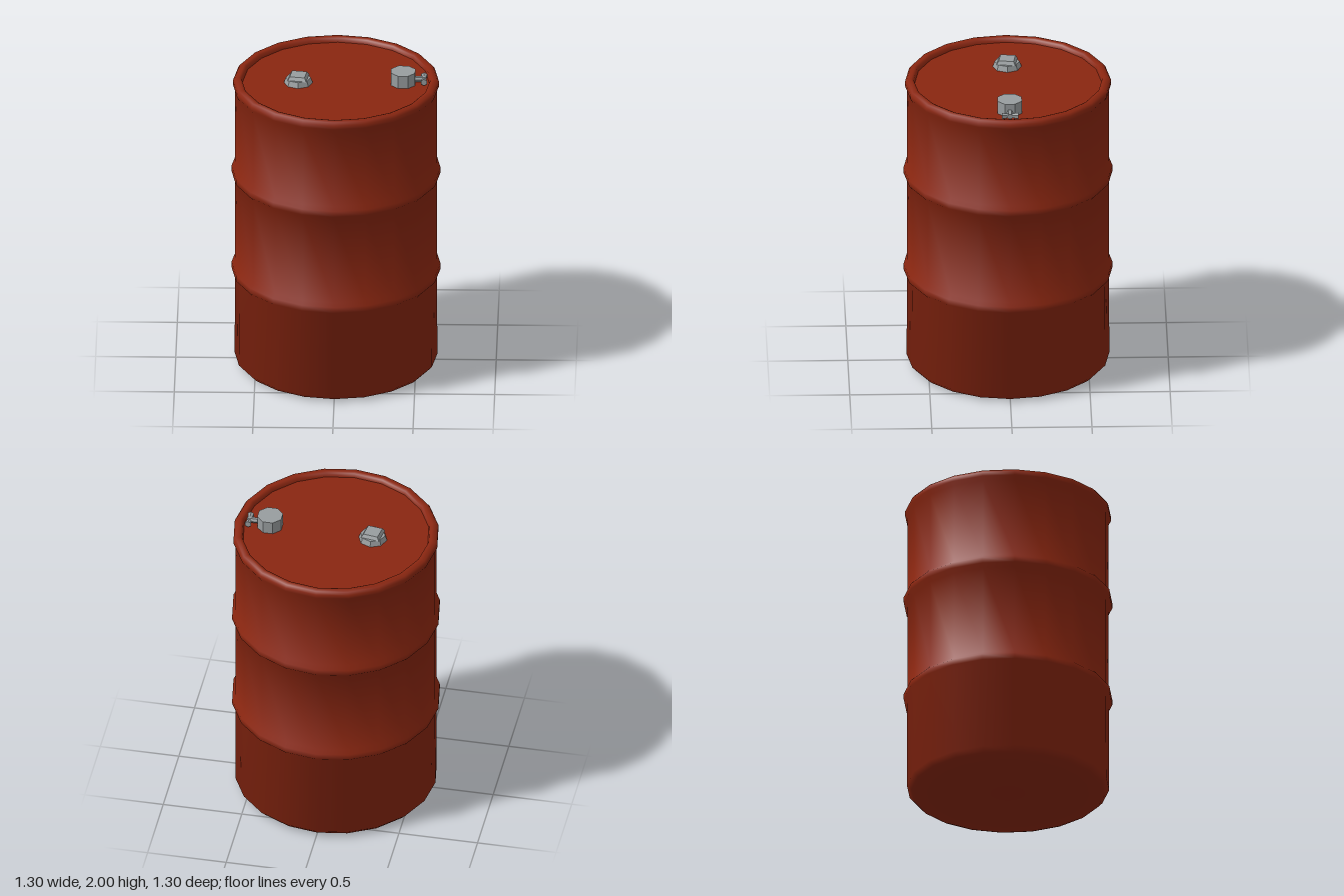
import * as THREE from 'three';
import { toCreasedNormals } from 'three/addons/utils/BufferGeometryUtils.js';

const SIDES = 20;
const LID_Y = 1.915;

export function createModel() {
  const model = new THREE.Group();
  model.name = 'barrel';

  const paint = new THREE.MeshStandardMaterial({ color: 0x8a2610 });
  paint.name = 'red brown paint';
  const metal = new THREE.MeshStandardMaterial({ color: 0x989d9f, flatShading: true });
  metal.name = 'grey metal';

  const add = (parent, name, geometry, material, x = 0, y = 0, z = 0) => {
    const mesh = new THREE.Mesh(geometry, material);
    mesh.name = name;
    mesh.position.set(x, y, z);
    parent.add(mesh);
    return mesh;
  };

  // Drum shell: closed base, two rolling hoops, rolled rim and sunken lid
  const hoop = (y) => [[0.63, y - 0.045], [0.652, y - 0.02], [0.652, y + 0.018], [0.63, y + 0.042]];
  const profile = [
    [0, 0.005], [0.58, 0.005], [0.605, 0.015], [0.633, 0.045],
    ...hoop(0.652),
    ...hoop(1.318),
    [0.63, 1.875], [0.644, 1.9], [0.644, 1.925], [0.632, 1.942], [0.605, 1.946],
    [0.59, 1.94], [0.583, LID_Y], [0, LID_Y],
  ].map(([r, y]) => new THREE.Vector2(r, y));
  add(model, 'drumShell', toCreasedNormals(new THREE.LatheGeometry(profile, SIDES), 1.0), paint);

  // Small bung: octagonal flange with a square plug
  const bung = new THREE.Group();
  bung.name = 'smallBung';
  bung.position.set(-0.235, LID_Y, 0);
  model.add(bung);
  add(bung, 'bungFlange', new THREE.CylinderGeometry(0.078, 0.09, 0.035, 8), metal, 0, 0.0175, 0);
  const plug = add(bung, 'bungPlug', new THREE.CylinderGeometry(0.066, 0.084, 0.024, 4), metal, 0, 0.045, 0);
  plug.rotation.y = Math.PI / 4 - 0.15;

  // Large cap with a side tap
  const tap = new THREE.Group();
  tap.name = 'tapCap';
  tap.position.set(0.419, LID_Y, 0);
  model.add(tap);
  const cap = add(tap, 'capBody', new THREE.CylinderGeometry(0.082, 0.082, 0.085, 8), metal, 0, 0.0425, 0);
  cap.rotation.y = Math.PI / 8;
  const spout = add(tap, 'tapStem', new THREE.CylinderGeometry(0.018, 0.018, 0.08, 6), metal, 0.105, 0.031, 0);
  spout.rotation.z = Math.PI / 2;

  // Bow-tie handle, narrow at the stem and wide at both ends
  for (const side of [-1, 1]) {
    const wing = add(tap, 'tapHandle', new THREE.CylinderGeometry(0.022, 0.012, 0.05, 6), metal, 0.131, 0.031, side * 0.026);
    wing.rotation.x = side * Math.PI / 2;
  }
  return model;
}
